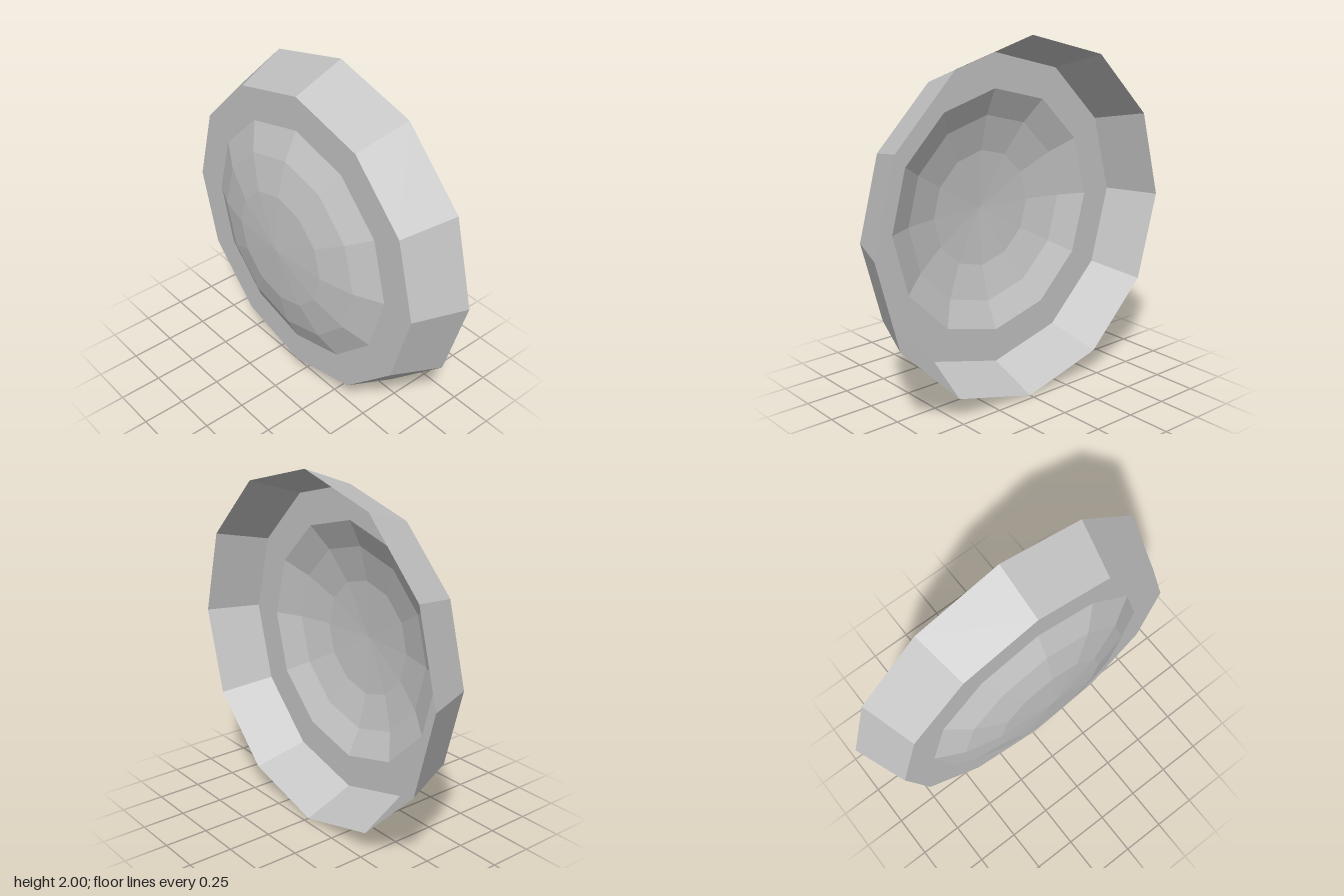
import * as THREE from 'three';

const SIDES = 12;

export function createModel() {
  const group = new THREE.Group();
  group.name = 'facetedDish';
  const grey = new THREE.MeshStandardMaterial({ color: 0xc4c4c4, flatShading: true, side: THREE.DoubleSide });
  grey.name = 'light grey';

  // Turns a [radius, z] profile around the front-facing axis
  function addRing(name, profile) {
    const points = profile.map(([r, z]) => new THREE.Vector2(r, z));
    const geometry = new THREE.LatheGeometry(points, SIDES);
    geometry.rotateX(Math.PI / 2);
    const mesh = new THREE.Mesh(geometry, grey);
    mesh.name = name;
    mesh.position.y = 1;
    group.add(mesh);
  }

  // Flared thin wall, open at the back
  addRing('flaredWall', [[1, -0.22], [0.888, 0.077]]);
  // Flat front ring
  addRing('frontRing', [[0.888, 0.077], [0.694, 0.077]]);
  // Shallow faceted dome, hollow behind
  addRing('dome', [[0.694, 0.077], [0.54, 0.15], [0.336, 0.199], [0, 0.22]]);

  return group;
}
